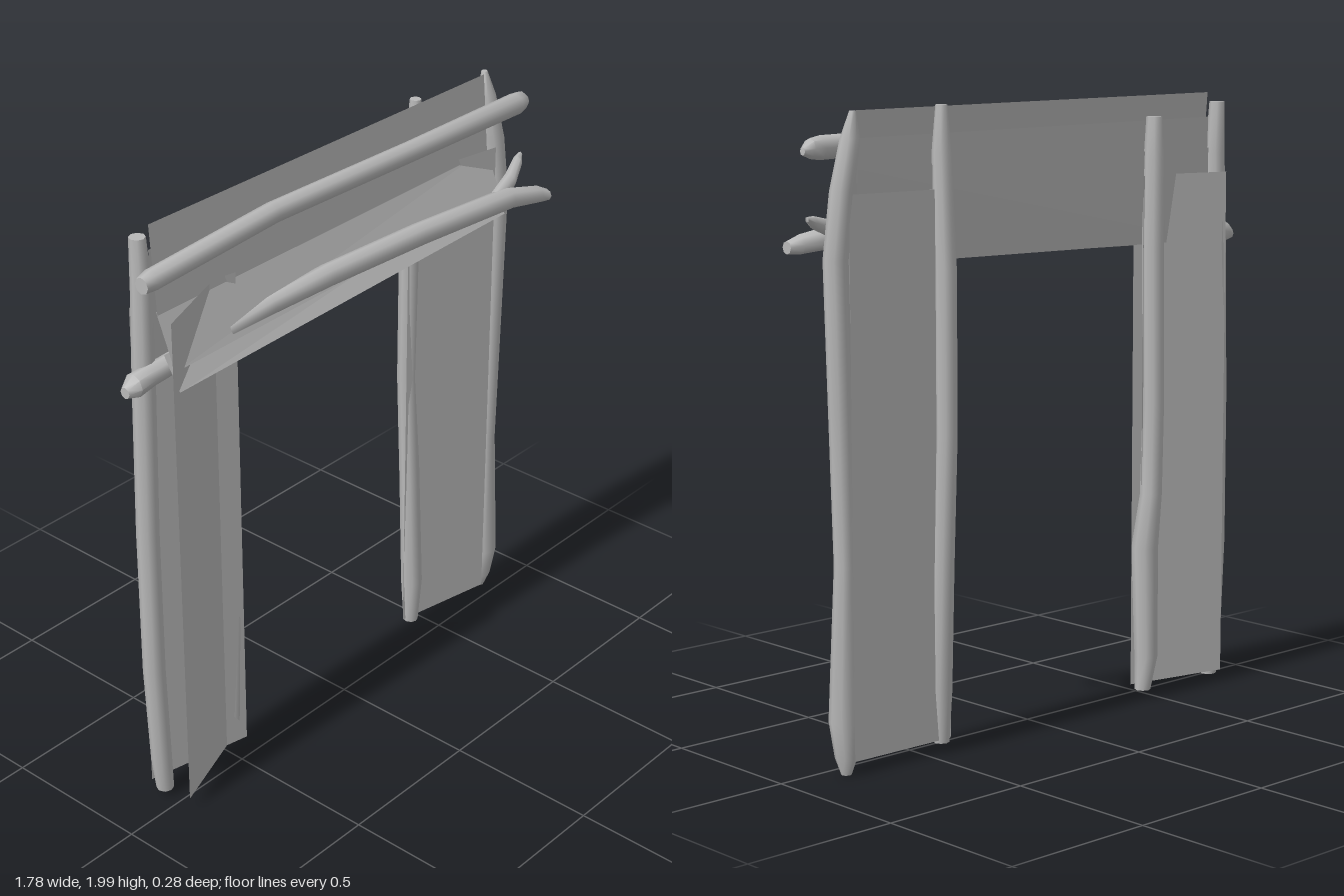
import * as THREE from 'three';
import { toCreasedNormals } from 'three/addons/utils/BufferGeometryUtils.js';

const SIDES = 8;

function indexed(pos, idx) {
  const g = new THREE.BufferGeometry();
  g.setAttribute('position', new THREE.Float32BufferAttribute(pos, 3));
  g.setIndex(idx);
  return g;
}

// rough log: rings [x, y, z, radius] stacked along y (upright) or x (lying)
function log(name, rings, upright, mat) {
  const pos = [], idx = [], n = rings.length;
  for (const [x, y, z, r] of rings) {
    for (let j = 0; j < SIDES; j++) {
      const a = (j / SIDES) * Math.PI * 2, c = r * Math.cos(a), s = r * Math.sin(a);
      if (upright) pos.push(x + s, y, z + c);
      else pos.push(x, y + c, z + s);
    }
  }
  for (let i = 0; i < n - 1; i++) {
    for (let j = 0; j < SIDES; j++) {
      const k = (j + 1) % SIDES;
      const a = i * SIDES + j, b = i * SIDES + k, c = b + SIDES, d = a + SIDES;
      idx.push(a, b, c, a, c, d);
    }
  }
  // end caps
  const last = (n - 1) * SIDES;
  for (let j = 1; j < SIDES - 1; j++) {
    idx.push(0, j + 1, j, last, last + j, last + j + 1);
  }
  const mesh = new THREE.Mesh(toCreasedNormals(indexed(pos, idx), 0.9), mat);
  mesh.name = name;
  return mesh;
}

// flat thin sheet from four corners: two on one side, two on the other
function sheet(name, corners, mat) {
  const g = indexed(corners.flat(), [0, 2, 3, 0, 3, 1]).toNonIndexed();
  g.computeVertexNormals();
  const mesh = new THREE.Mesh(g, mat);
  mesh.name = name;
  return mesh;
}

export function createModel() {
  const group = new THREE.Group();
  group.name = 'gate';
  const grey = new THREE.MeshStandardMaterial({ color: 0xb8b8b8, side: THREE.DoubleSide });
  grey.name = 'plain grey';

  // upright posts
  const posts = {
    leftOuterPost: [[0.8, 0.01, -0.06, 0.016], [0.797, 0.06, -0.055, 0.034], [0.798, 0.17, -0.045, 0.044],
      [0.782, 0.64, -0.04, 0.032], [0.795, 1.1, -0.045, 0.036], [0.81, 1.55, -0.05, 0.038],
      [0.788, 1.75, -0.055, 0.037], [0.768, 1.9, -0.07, 0.03], [0.765, 1.98, -0.08, 0.01]],
    leftInnerPost: [[0.435, 0.04, -0.075, 0.025], [0.437, 0.2, -0.075, 0.036], [0.436, 0.6, -0.09, 0.034],
      [0.433, 1, -0.105, 0.033], [0.43, 1.5, -0.1, 0.034], [0.43, 1.85, -0.085, 0.03], [0.43, 1.99, -0.085, 0.018]],
    rightInnerPost: [[-0.455, 0.04, -0.075, 0.026], [-0.47, 0.15, -0.075, 0.038], [-0.455, 0.52, -0.08, 0.044],
      [-0.472, 0.7, -0.09, 0.036], [-0.475, 1, -0.095, 0.035], [-0.475, 1.5, -0.088, 0.036],
      [-0.48, 1.8, -0.085, 0.034], [-0.48, 1.93, -0.085, 0.026]],
    rightOuterPost: [[-0.785, 0.035, -0.065, 0.028], [-0.795, 0.15, -0.065, 0.033], [-0.806, 0.5, -0.068, 0.035],
      [-0.802, 1, -0.072, 0.035], [-0.79, 1.5, -0.072, 0.035], [-0.785, 1.8, -0.07, 0.032], [-0.787, 1.97, -0.075, 0.025]]
  };
  for (const [name, rings] of Object.entries(posts)) group.add(log(name, rings, true, grey));

  // cross beams
  group.add(log('upperBeam', [[-0.85, 1.865, 0, 0.026], [-0.81, 1.87, 0, 0.033], [-0.33, 1.908, 0.015, 0.033],
    [0.3, 1.89, 0.015, 0.033], [0.82, 1.873, 0.005, 0.036], [0.86, 1.872, 0, 0.03], [0.89, 1.865, -0.005, 0.012]], false, grey));
  group.add(log('lowerBeam', [[-0.895, 1.528, -0.04, 0.018], [-0.86, 1.537, -0.04, 0.037], [-0.8, 1.548, -0.035, 0.033],
    [-0.33, 1.6, -0.003, 0.03], [-0.1, 1.618, 0.02, 0.036], [0.3, 1.617, 0.047, 0.037], [0.7, 1.607, 0.08, 0.036],
    [0.82, 1.587, 0.105, 0.03], [0.855, 1.578, 0.12, 0.02]], false, grey));
  group.add(log('beamBranch', [[0.64, 1.612, 0.07, 0.024], [0.76, 1.635, 0.04, 0.026],
    [0.85, 1.658, 0, 0.02], [0.885, 1.67, -0.015, 0.008]], false, grey));

  // slanted panels between the posts, a front and a back one on each side
  const panel = (name, xa, za, xb, zb) => group.add(sheet(name,
    [[xa, 0.05, za], [xa, 1.74, za], [xb, 0.05, zb], [xb, 1.74, zb]], grey));
  panel('rightFrontPanel', -0.79, 0.05, -0.44, -0.078);
  panel('rightBackPanel', -0.8, -0.108, -0.44, -0.034);
  panel('leftFrontPanel', 0.4, -0.08, 0.75, -0.012);
  panel('leftBackPanel', 0.41, -0.088, 0.785, -0.084);

  // top boards, overlapping and flaring forward at the bottom
  const board = (name, y0l, y0r, z0, y1l, y1r, z1) => group.add(sheet(name,
    [[-0.755, y0l, z0], [-0.755, y1l, z1], [0.74, y0r, z0], [0.74, y1r, z1]], grey));
  board('topBoard', 1.72, 1.72, -0.04, 2.0, 1.98, -0.062);
  board('middleBoard', 1.56, 1.58, 0.024, 1.73, 1.73, -0.045);
  board('bottomBoard', 1.5, 1.525, 0.04, 1.6, 1.61, -0.02);
  board('upperBackBoard', 1.78, 1.77, -0.062, 1.92, 1.9, -0.066);
  board('lowerBackBoard', 1.515, 1.53, -0.06, 1.82, 1.81, -0.07);
  return group;
}
